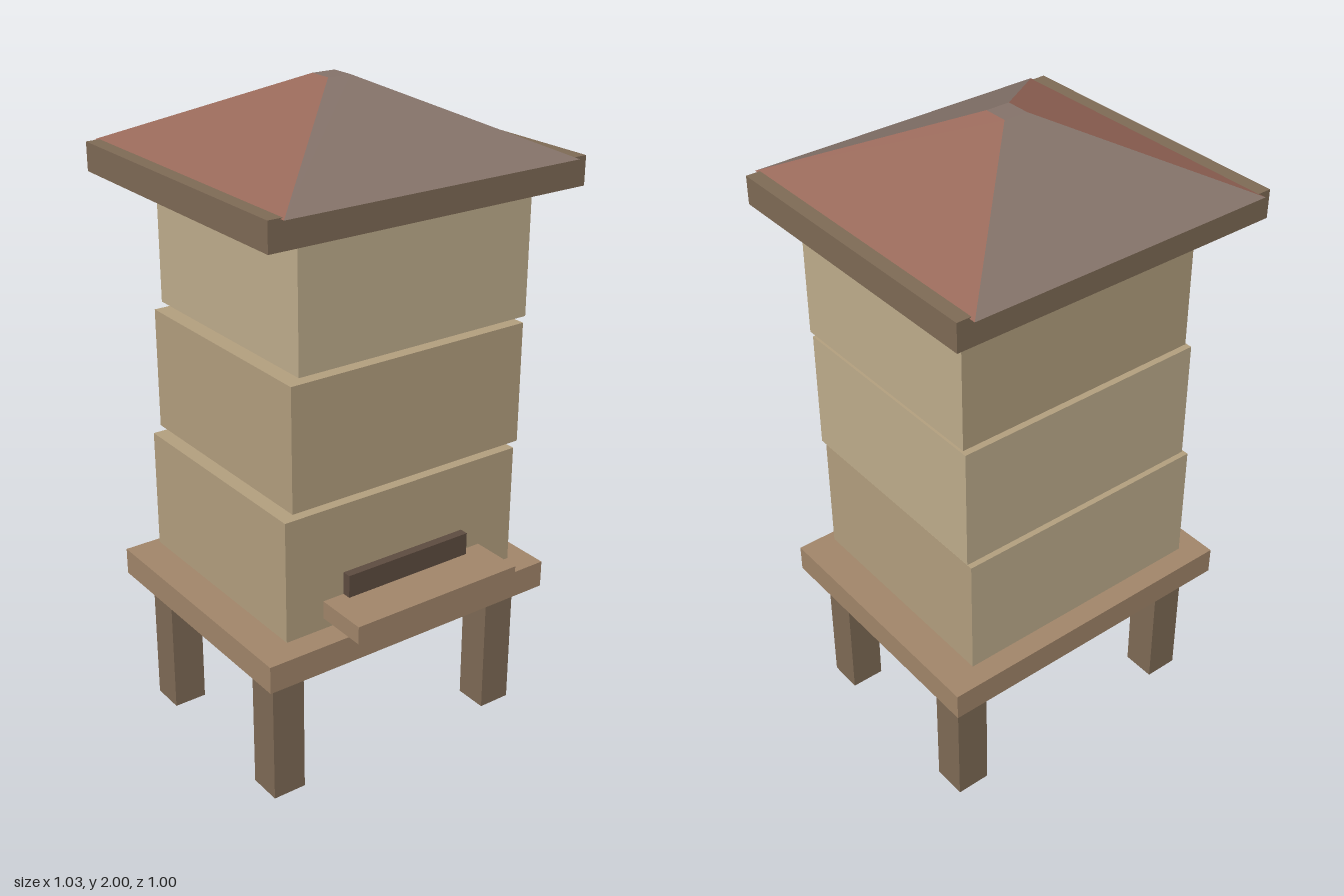
import * as THREE from 'three';

const mat = (color) => new THREE.MeshStandardMaterial({ color });
const paleWood = mat(0xc0ae8d), warmWood = mat(0xb4a07f), plank = mat(0xa2866a);
const darkWood = mat(0x7f6b56), slot = mat(0x5e4c40);
const roofRed = mat(0x986859), roofGrey = mat(0x85736a);

// Box given by its extents on each axis
function box(name, [x0, x1], [y0, y1], [z0, z1], material) {
  const mesh = new THREE.Mesh(new THREE.BoxGeometry(x1 - x0, y1 - y0, z1 - z0), material);
  mesh.position.set((x0 + x1) / 2, (y0 + y1) / 2, (z0 + z1) / 2);
  mesh.name = name;
  return mesh;
}

// Four sloping panels, a small flat cap and a closed underside
function createRoof() {
  const roof = new THREE.Group();
  roof.name = 'roof';
  const b = 0.48, t = 0.037, h = 0.208;
  for (let i = 0; i < 4; i++) {
    const geo = new THREE.BufferGeometry();
    geo.setAttribute('position', new THREE.Float32BufferAttribute(
      [-b, 0, b, b, 0, b, t, h, t, -t, h, t], 3));
    geo.setIndex([0, 1, 2, 0, 2, 3]);
    geo.computeVertexNormals();
    const panel = new THREE.Mesh(geo, i % 2 ? roofRed : roofGrey);
    panel.rotation.y = i * Math.PI / 2;
    panel.name = 'roofPanel';
    roof.add(panel);
  }
  const cap = new THREE.Mesh(new THREE.PlaneGeometry(2 * t, 2 * t), roofGrey);
  cap.rotation.x = -Math.PI / 2;
  cap.position.y = h;
  cap.name = 'roofCap';
  const underside = new THREE.Mesh(new THREE.PlaneGeometry(2 * b, 2 * b), roofGrey);
  underside.rotation.x = Math.PI / 2;
  underside.name = 'roofUnderside';
  roof.add(cap, underside);
  roof.position.set(0, 1.792, -0.025);
  return roof;
}

export function createModel() {
  const hive = new THREE.Group();
  hive.name = 'beehive';

  // Stand
  for (const x of [-0.395, 0.395]) {
    for (const z of [-0.307, 0.262]) {
      hive.add(box('leg', [x - 0.053, x + 0.053], [0, 0.425], [z - 0.053, z + 0.053], darkWood));
    }
  }
  hive.add(box('standBoard', [-0.5, 0.5], [0.425, 0.51], [-0.43, 0.385], plank));

  // Stacked hive boxes, slightly offset, with two wood tones across their sides
  const P = paleWood, W = warmWood;
  const boxes = [
    { x: [-0.41, 0.405], y: [0.53, 0.905], sides: [W, W, W, W, W, P] },
    { x: [-0.385, 0.418], y: [0.925, 1.298], sides: [P, W, W, W, W, P] },
    { x: [-0.36, 0.425], y: [1.317, 1.69], sides: [P, P, W, W, P, W] },
  ];
  for (const { x, y, sides } of boxes) hive.add(box('hiveBox', x, y, [-0.378, 0.333], sides));

  // Entrance
  hive.add(box('landingBoard', [-0.285, 0.283], [0.565, 0.62], [0.28, 0.5], plank));
  hive.add(box('entranceSlot', [-0.215, 0.213], [0.62, 0.69], [0.3, 0.36], slot));

  // Roof on its eaves board
  hive.add(box('eavesBoard', [-0.517, 0.517], [1.71, 1.795], [-0.485, 0.44], darkWood));
  hive.add(createRoof());
  return hive;
}
